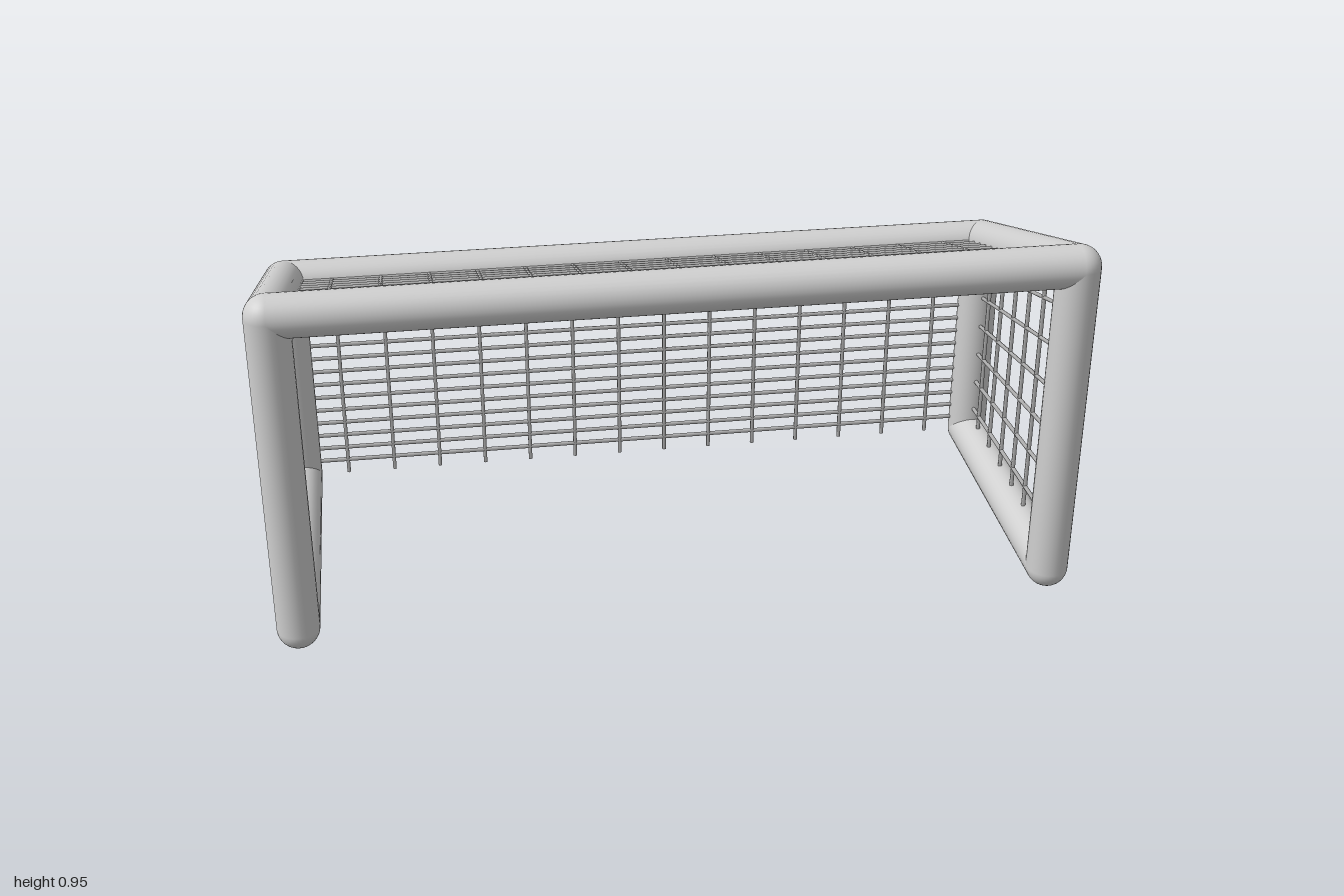
import * as THREE from 'three';

export function createModel() {
  const goal = new THREE.Group();
  goal.name = 'goal';
  const frameMat = new THREE.MeshStandardMaterial({ color: 0xd0d0d0 });
  frameMat.name = 'frameGrey';
  const netMat = new THREE.MeshStandardMaterial({ color: 0xb0b0b0 });
  netMat.name = 'netGrey';

  const X = 0.947, Z = 0.367, R = 0.053, ROD = 0.0055;
  const LOW = 0.053, FRONT = 0.896, BACK = 0.645;
  const up = new THREE.Vector3(0, 1, 0);
  const v = (x, y, z) => new THREE.Vector3(x, y, z);

  // Round bar from a to b
  function bar(parent, name, a, b, radius, sides, material) {
    const dir = b.clone().sub(a);
    const mesh = new THREE.Mesh(
      new THREE.CylinderGeometry(radius, radius, dir.length(), sides), material);
    mesh.position.copy(a).add(b).multiplyScalar(0.5);
    mesh.quaternion.setFromUnitVectors(up, dir.normalize());
    mesh.name = name;
    parent.add(mesh);
  }

  // Net panel between corners a-b (one edge) and d-c (opposite edge)
  function net(name, a, b, c, d, across, along) {
    const group = new THREE.Group();
    group.name = name;
    const rods = (p, q, r, s, n, label) => {
      for (let i = 1; i < n; i++) {
        bar(group, label, p.clone().lerp(q, i / n), s.clone().lerp(r, i / n), ROD, 6, netMat);
      }
    };
    rods(a, b, c, d, across, 'lengthRod');
    rods(a, d, c, b, along, 'crossRod');
    goal.add(group);
  }

  // Tubular frame
  const frame = new THREE.Group();
  frame.name = 'frame';
  goal.add(frame);
  const tube = (name, a, b) => bar(frame, name, a, b, R, 32, frameMat);
  for (const [side, x] of [['left', X], ['right', -X]]) {
    const fl = v(x, LOW, Z), ft = v(x, FRONT, Z);
    const bl = v(x, LOW, -Z), bt = v(x, BACK, -Z);
    tube(side + 'FrontPost', fl, ft);
    tube(side + 'BackPost', bl, bt);
    tube(side + 'BaseBar', fl, bl);
    tube(side + 'RoofBar', ft, bt);
    // Rounded corner joints
    for (const p of [fl, ft, bl, bt]) {
      const joint = new THREE.Mesh(new THREE.SphereGeometry(R, 32, 20), frameMat);
      joint.position.copy(p);
      joint.name = side + 'Joint';
      frame.add(joint);
    }
    net(side + 'Net', fl, bl, bt, ft, 7, 7);
  }
  tube('crossbar', v(-X, FRONT, Z), v(X, FRONT, Z));
  tube('backBar', v(-X, BACK, -Z), v(X, BACK, -Z));

  // Back and roof nets
  net('backNet', v(-X, LOW, -Z), v(X, LOW, -Z), v(X, BACK, -Z), v(-X, BACK, -Z), 15, 15);
  net('roofNet', v(-X, FRONT, Z), v(X, FRONT, Z), v(X, BACK, -Z), v(-X, BACK, -Z), 15, 15);
  return goal;
}
